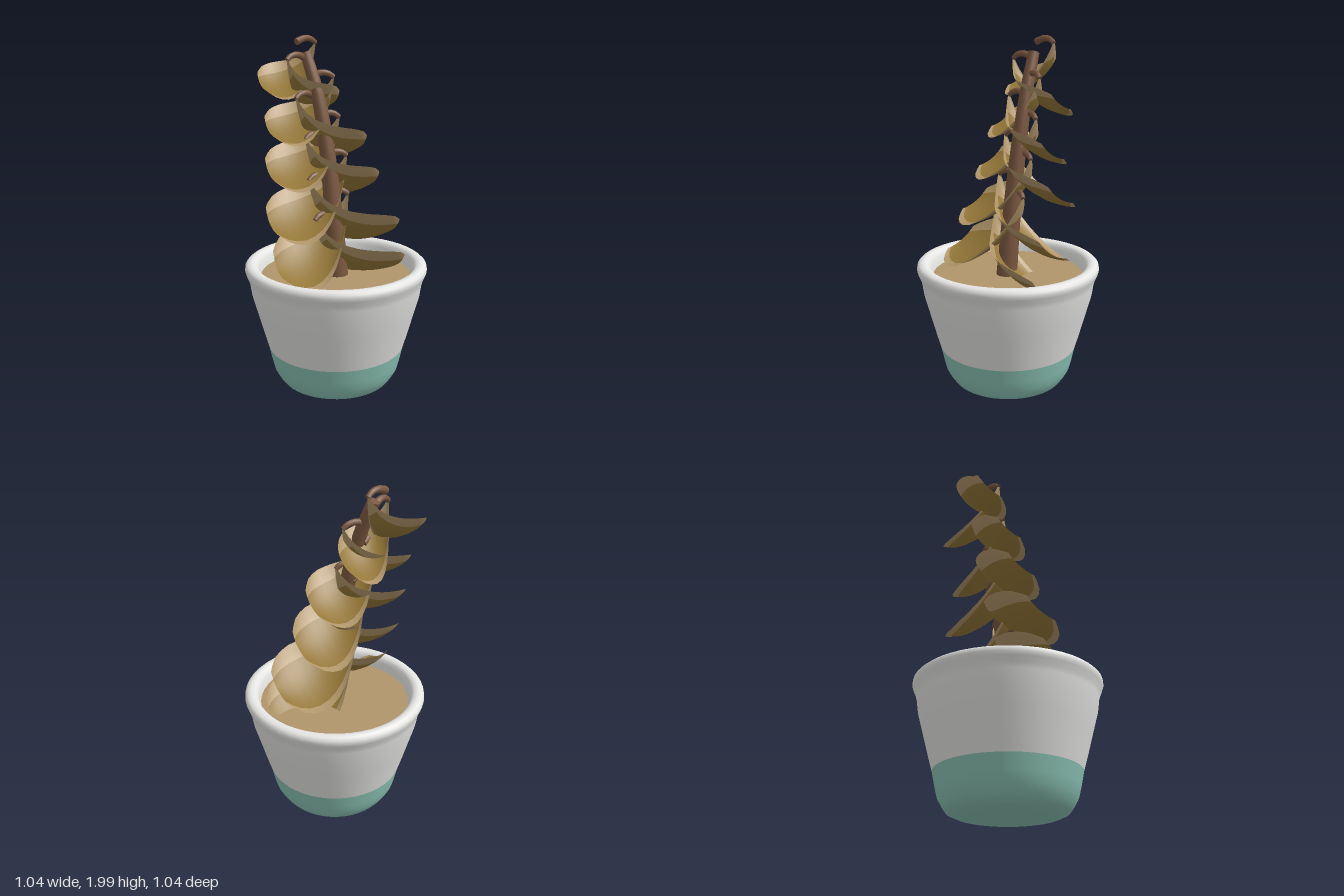
import * as THREE from 'three';

const mat = (name, color, side = THREE.FrontSide) => {
  const m = new THREE.MeshStandardMaterial({ color, side });
  m.name = name;
  return m;
};
const V = (x, y, z) => new THREE.Vector3(x, y, z);

export function createModel() {
  const white = mat('potWhite', 0xe6e6e4);
  const teal = mat('potTeal', 0x8cc4b5);
  const soilTan = mat('soilTan', 0xb0956a);
  const bark = mat('barkBrown', 0x7a573f);
  const ochre = mat('leafOchre', 0x957838, THREE.DoubleSide);
  const edgeTan = mat('leafEdgeTan', 0xb2976a, THREE.DoubleSide);

  const plant = new THREE.Group();
  plant.name = 'pottedPlant';
  const add = (name, geometry, material, parent = plant) => {
    const mesh = new THREE.Mesh(geometry, material);
    mesh.name = name;
    parent.add(mesh);
    return mesh;
  };
  const lathe = (pts) => new THREE.LatheGeometry(pts.map(([x, y]) => new THREE.Vector2(x, y)), 48);

  // Pot: dipped base, flared body and rounded rim
  add('potBase', lathe([[0, 0.005], [0.23, 0.005], [0.28, 0.015], [0.32, 0.032], [0.342, 0.062],
    [0.366, 0.105], [0.38, 0.16], [0.397, 0.24]]), teal);
  add('potBody', lathe([[0.397, 0.24], [0.42, 0.32], [0.455, 0.45], [0.485, 0.56], [0.495, 0.63], [0.503, 0.66],
    [0.516, 0.69], [0.522, 0.71], [0.519, 0.73], [0.505, 0.743], [0.485, 0.747], [0.465, 0.743],
    [0.45, 0.73], [0.443, 0.71], [0.435, 0.68], [0.428, 0.64]]), white);
  const soil = add('soil', new THREE.CircleGeometry(0.436, 48), soilTan);
  soil.rotation.x = -Math.PI / 2;
  soil.position.y = 0.665;

  // Tapering tube, closed at both ends
  const taperedTube = (name, curve, r0, r1, steps, sides, parent) => {
    const g = new THREE.TubeGeometry(curve, steps, 1, sides);
    const p = g.attributes.position, v = V(0, 0, 0);
    for (let i = 0; i <= steps; i++) {
      const c = curve.getPointAt(i / steps), r = r0 + (r1 - r0) * i / steps;
      for (let j = 0; j <= sides; j++) {
        const k = i * (sides + 1) + j;
        v.fromBufferAttribute(p, k).sub(c).multiplyScalar(r).add(c);
        p.setXYZ(k, v.x, v.y, v.z);
      }
    }
    add(name, g, bark, parent);
    for (const [t, r, s] of [[0, r0, -1], [1, r1, 1]]) {
      const cap = add(name + 'Cap', new THREE.CircleGeometry(r, sides), bark, parent);
      cap.position.copy(curve.getPointAt(t));
      cap.quaternion.setFromUnitVectors(V(0, 0, 1), curve.getTangentAt(t).multiplyScalar(s));
    }
  };

  // Leaning trunk
  taperedTube('trunk', new THREE.CatmullRomCurve3([V(0.005, 0.64, 0.015), V(0, 1.0, -0.025),
    V(-0.01, 1.4, -0.085), V(-0.03, 1.7, -0.155), V(-0.058, 1.905, -0.228)]), 0.06, 0.032, 16, 14, plant);

  // Cupped blade that drops from a point at p0, then levels out to a blunt tip at p1;
  // side is the x direction it grows
  const ROWS = 12, COLS = 10;
  const widths = new THREE.SplineCurve([[0, 0.01], [0.2, 0.065], [0.4, 0.135], [0.6, 0.195], [0.78, 0.213],
    [0.92, 0.175], [1, 0.1]].map(([x, y]) => new THREE.Vector2(x, y)));
  const bladeGeometry = (p0, p1, side, scale) => {
    const d = p1.clone().sub(p0);
    const spine = new THREE.CubicBezierCurve3(p0,
      V(p0.x + 0.1 * d.x, p0.y + 0.72 * d.y, p0.z + 0.3 * d.z),
      V(p0.x + 0.48 * d.x, p1.y - 0.05, p0.z + 0.7 * d.z), p1);
    const across = V(-0.1 * side, 0.55, 0.83 * side).normalize();
    const pos = [], body = [], border = [];
    for (let i = 0; i <= ROWS; i++) {
      const w = widths.getPoint(i / ROWS);
      const c = spine.getPoint(w.x), tan = spine.getTangent(w.x);
      const up = across.clone().cross(tan).normalize();
      for (let j = 0; j <= COLS; j++) {
        const t = (j / COLS) * 2 - 1;
        const q = c.clone().addScaledVector(across, t * w.y * scale)
          .addScaledVector(up, (t * t - 0.4) * w.y * 0.22 * scale);
        pos.push(q.x, q.y, q.z);
        if (i === ROWS || j === COLS) continue;
        const a = i * (COLS + 1) + j, b = a + COLS + 1;
        const target = j < 1 || j > COLS - 3 || i < 2 ? border : body;
        target.push(a, a + 1, b, a + 1, b + 1, b);
      }
    }
    const g = new THREE.BufferGeometry();
    g.setAttribute('position', new THREE.Float32BufferAttribute(pos, 3));
    g.setIndex([...body, ...border]);
    g.addGroup(0, body.length, 0);
    g.addGroup(body.length, border.length, 1);
    g.computeVertexNormals();
    return g;
  };

  // Leaves in two opposite rows: [stem end], [blade tip], scale
  const leaves = [
    [[0.04, 1.955, -0.29], [-0.3, 1.745, -0.31], 0.78],
    [[-0.195, 1.87, -0.19], [0.15, 1.635, -0.25], 0.8],
    [[0.08, 1.77, -0.155], [-0.315, 1.51, -0.2], 0.83],
    [[-0.17, 1.665, -0.14], [0.245, 1.385, -0.11], 0.88],
    [[0.095, 1.55, -0.12], [-0.345, 1.28, -0.14], 0.93],
    [[-0.14, 1.445, -0.09], [0.325, 1.16, -0.1], 0.97],
    [[0.115, 1.335, -0.07], [-0.39, 1.02, -0.05], 1],
    [[-0.145, 1.22, -0.05], [0.395, 0.885, 0.01], 1.04],
    [[0.1, 1.12, -0.03], [-0.4, 0.79, 0.05], 1.06],
    [[-0.13, 1.0, -0.01], [0.4, 0.68, 0.06], 1.06],
  ];
  leaves.forEach(([e, tip, scale], i) => {
    const side = i % 2 ? 1 : -1;
    const leaf = new THREE.Group();
    leaf.name = 'leaf' + (i + 1);
    plant.add(leaf);
    const end = V(...e);
    add('blade', bladeGeometry(end, V(...tip), side, scale), [ochre, edgeTan], leaf);
    // Arched stem from the trunk out to the blade
    const dz = i === 0 ? 0.015 : -0.035;
    taperedTube('stem', new THREE.CatmullRomCurve3([V(e[0] + side * 0.13, e[1] + 0.008, e[2] + dz),
      V(e[0] + side * 0.07, e[1] + 0.027, e[2] + dz / 2), V(e[0] + side * 0.025, e[1] + 0.02, e[2] + dz / 5),
      end]), 0.021, 0.014, 8, 8, leaf);
  });
  return plant;
}
